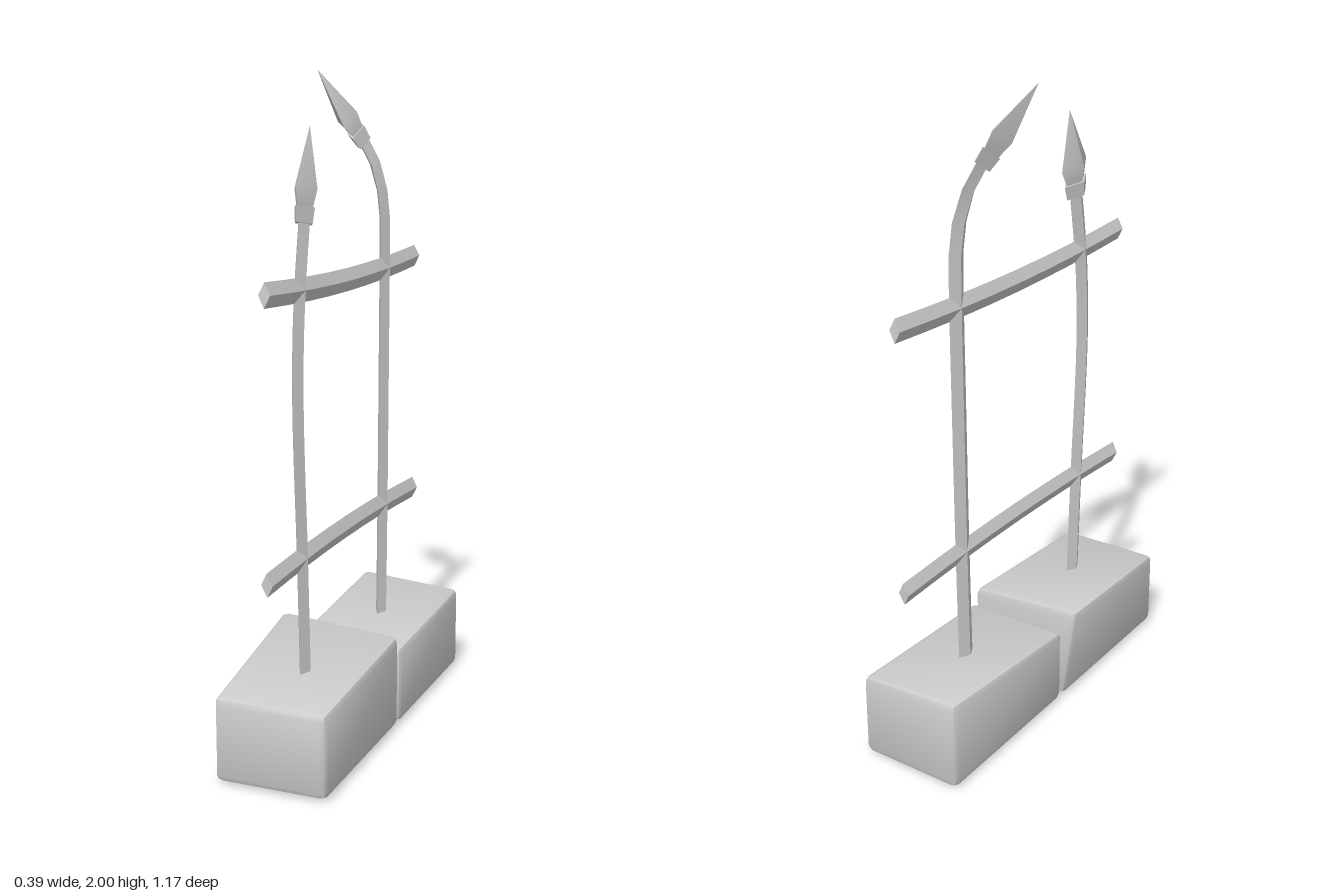
import * as THREE from 'three';
import { toCreasedNormals } from 'three/addons/utils/BufferGeometryUtils.js';
import { RoundedBoxGeometry } from 'three/addons/geometries/RoundedBoxGeometry.js';

const V = (x, y, z) => new THREE.Vector3(x, y, z);
const MAT = new THREE.MeshStandardMaterial({ color: 0xcccccc });
const MID = 0.02; // x of the fence plane

function mesh(name, geometry) {
  const m = new THREE.Mesh(geometry, MAT);
  m.name = name;
  return m;
}

// Closed loft of diamond rings [centre, tangent, half width]; the wide axis follows ref, the thin one is half of it
function diamondLoft(rings, ref) {
  const pos = [], index = [];
  for (const [c, t, r] of rings) {
    const wide = ref.clone().addScaledVector(t, -ref.dot(t)).normalize();
    const thin = t.clone().cross(wide).multiplyScalar(r / 2);
    wide.multiplyScalar(r);
    for (const [axis, s] of [[wide, 1], [thin, 1], [wide, -1], [thin, -1]])
      pos.push(...c.clone().addScaledVector(axis, s).toArray());
  }
  const last = (rings.length - 1) * 4;
  for (let i = 0; i < last; i += 4)
    for (let k = 0; k < 4; k++) {
      const n = (k + 1) % 4;
      index.push(i + k, i + n, i + 4 + n, i + k, i + 4 + n, i + 4 + k);
    }
  index.push(0, 2, 1, 0, 3, 2, last, last + 1, last + 2, last, last + 2, last + 3);
  const g = new THREE.BufferGeometry();
  g.setAttribute('position', new THREE.Float32BufferAttribute(pos, 3));
  g.setIndex(index);
  return toCreasedNormals(g, 0.5);
}

// Bar swept along a smooth curve
function bar(name, points, ref, steps) {
  const curve = new THREE.CatmullRomCurve3(points);
  const rings = [];
  for (let i = 0; i <= steps; i++)
    rings.push([curve.getPointAt(i / steps), curve.getTangentAt(i / steps), 0.035]);
  return mesh(name, diamondLoft(rings, ref));
}

// Collar and spear point standing on base and aiming at tip
function spearHead(base, tip) {
  const t = tip.clone().sub(base).normalize();
  const length = base.distanceTo(tip);
  const along = (profile) =>
    diamondLoft(profile.map(([d, r]) => [base.clone().addScaledVector(t, d), t, r]), V(0, 0, 1));
  const g = new THREE.Group();
  g.name = 'spearHead';
  g.add(mesh('collar', along([[0, 0.054], [0.045, 0.062]])));
  g.add(mesh('spearPoint', along([[0.04, 0.048], [0.095, 0.07], [length, 0.0005]])));
  return g;
}

// Bevelled block whose eight corners are moved; corners are ordered x, then y, then z
function block(name, corners) {
  const g = toCreasedNormals(warp(new RoundedBoxGeometry(0.36, 0.28, 0.585, 1, 0.022), corners), 0.7);
  return mesh(name, g);
}

function warp(g, corners) {
  const p = g.attributes.position, out = V(), c = V();
  for (let i = 0; i < p.count; i++) {
    const f = [p.getX(i) / 0.36 + 0.5, p.getY(i) / 0.28 + 0.5, p.getZ(i) / 0.585 + 0.5];
    out.set(0, 0, 0);
    corners.forEach((corner, k) => {
      const w = f.reduce((a, v, b) => a * ((k >> b) & 1 ? v : 1 - v), 1);
      out.addScaledVector(c.fromArray(corner), w);
    });
    p.setXYZ(i, out.x, out.y, out.z);
  }
  return g;
}

export function createModel() {
  const model = new THREE.Group();
  model.name = 'brokenFence';

  // Uneven stone footings
  model.add(block('frontBlock', [
    [-0.152, 0.005, 0.002], [0.193, 0.005, 0.002], [-0.2, 0.328, 0.002], [0.193, 0.295, 0.002],
    [-0.152, 0.005, 0.585], [0.193, 0.005, 0.585], [-0.152, 0.257, 0.585], [0.193, 0.257, 0.585],
  ]));
  model.add(block('backBlock', [
    [-0.152, 0.005, -0.588], [0.193, 0.005, -0.58], [-0.152, 0.296, -0.588], [0.193, 0.27, -0.58],
    [-0.152, 0.005, -0.004], [0.193, 0.005, -0.004], [-0.152, 0.247, -0.004], [0.193, 0.247, -0.004],
  ]));

  // Bent posts, given as x, y, z
  const zAxis = V(0, 0, 1), yAxis = V(0, 1, 0);
  model.add(bar('frontPost', [
    V(MID, 0, 0.32), V(MID, 0.27, 0.33), V(MID, 0.62, 0.346), V(MID, 1.1, 0.372),
    V(MID, 1.36, 0.358), V(MID, 1.6, 0.318),
  ], zAxis, 16));
  model.add(bar('backPost', [
    V(MID, 0, -0.285), V(MID, 0.6, -0.298), V(MID, 1.15, -0.304), V(MID, 1.4, -0.306),
    V(MID, 1.58, -0.3), V(0.004, 1.7, -0.28), V(-0.035, 1.8, -0.245),
  ], zAxis, 20));

  // Spear heads
  model.add(spearHead(V(MID, 1.575, 0.325), V(MID, 1.84, 0.28)));
  model.add(spearHead(V(-0.032, 1.785, -0.25), V(-0.13, 2, -0.122)));

  // Slightly bowed rails: height at the ends, height in the middle
  for (const [name, end, middle] of [['lowerRail', 0.61, 0.627], ['upperRail', 1.405, 1.386]])
    model.add(bar(name, [0.585, 0.32, 0, -0.32, -0.585].map((z) =>
      V(MID, middle + (end - middle) * (z / 0.585) ** 2, z)), yAxis, 8));

  return model;
}
